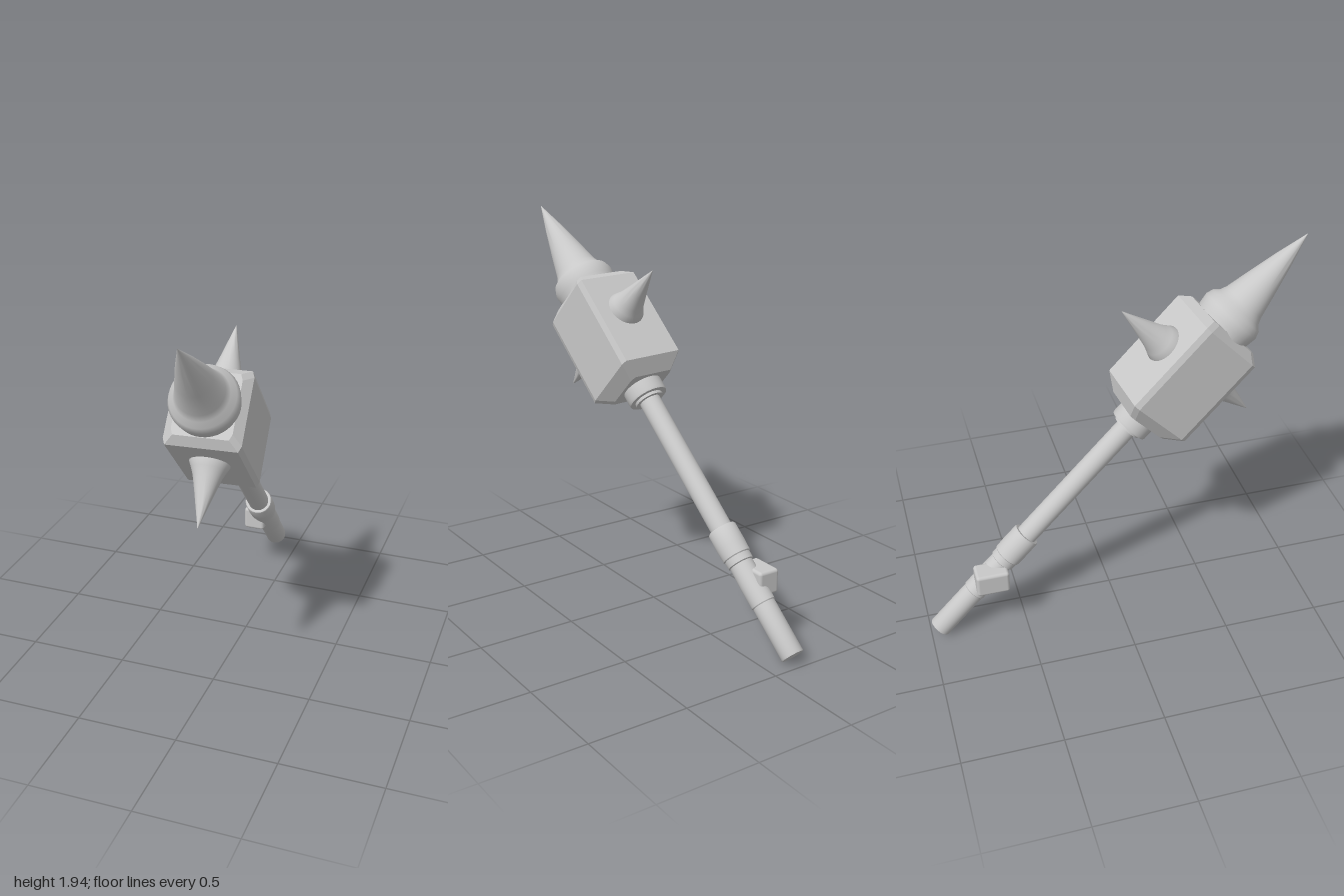
import * as THREE from 'three';
import { ConvexGeometry } from 'three/addons/geometries/ConvexGeometry.js';
import { RoundedBoxGeometry } from 'three/addons/geometries/RoundedBoxGeometry.js';
import { toCreasedNormals } from 'three/addons/utils/BufferGeometryUtils.js';

export function createModel() {
  const model = new THREE.Group();
  model.name = 'spikedHammer';
  const grey = new THREE.MeshStandardMaterial({ color: 0xc8c8c8 });
  grey.name = 'plain grey';

  // Tilted weapon frame: local y runs up the shaft, origin at the middle of the head
  const weapon = new THREE.Group();
  weapon.name = 'weapon';
  const axis = new THREE.Vector3(0.073, 0.695, 0.715).normalize();
  const front = new THREE.Vector3(0.06, -0.716, 0.696);
  const side = new THREE.Vector3().crossVectors(axis, front).normalize();
  front.crossVectors(side, axis);
  weapon.quaternion.setFromRotationMatrix(new THREE.Matrix4().makeBasis(side, axis, front));
  weapon.position.set(0, 1.367, 0.4);
  model.add(weapon);

  const add = (name, geometry, parent = weapon) => {
    const mesh = new THREE.Mesh(geometry, grey);
    mesh.name = name;
    parent.add(mesh);
    return mesh;
  };
  const lathe = (points, segments = 40) => toCreasedNormals(
    new THREE.LatheGeometry(points.map(([r, y]) => new THREE.Vector2(r, y)), segments), 0.6);

  // Head block: chamfered sections (height, half width, half depth)
  const corners = [];
  const sections = [[-0.36, 0.125, 0.125], [-0.295, 0.18, 0.193], [0.207, 0.18, 0.193], [0.25, 0.14, 0.157]];
  for (const [y, w, d] of sections) {
    for (const sx of [-1, 1]) for (const sz of [-1, 1]) {
      corners.push(new THREE.Vector3(sx * w, y, sz * (d - 0.03)));
      corners.push(new THREE.Vector3(sx * (w - 0.012), y, sz * d));
    }
  }
  add('headBlock', new ConvexGeometry(corners));

  // Large top spike with a flared foot
  add('topSpike', lathe([[0, 0.22], [0.15, 0.22], [0.158, 0.27], [0.163, 0.31], [0.152, 0.343],
    [0.128, 0.365], [0.113, 0.4], [0.083, 0.53], [0.046, 0.68], [0.001, 0.84]]));

  // Smaller spikes on the front and back of the head
  for (const s of [-1, 1]) {
    const spike = add(s > 0 ? 'frontSpike' : 'backSpike', lathe([[0, 0.16], [0.097, 0.16], [0.096, 0.195],
      [0.082, 0.225], [0.069, 0.255], [0.046, 0.335], [0.023, 0.42], [0.001, 0.5]]));
    spike.rotation.x = s * Math.PI / 2;
  }

  // Shaft, collar under the head, and grip
  add('collar', lathe([[0.055, -0.445], [0.075, -0.445], [0.075, -0.43], [0.1, -0.43], [0.103, -0.42], [0.103, -0.33]]));
  add('shaft', lathe([[0, -1.4], [0.055, -1.4], [0.055, -0.33], [0, -0.33]], 32));
  add('sleeve', lathe([[0.058, -1.4], [0.066, -1.395], [0.067, -1.36], [0.072, -1.355], [0.074, -1.3],
    [0.073, -1.21], [0.069, -1.203], [0.054, -1.203]], 32));
  add('grip', lathe([[0, -1.895], [0.055, -1.895], [0.057, -1.89], [0.057, -1.62], [0.061, -1.615],
    [0.062, -1.5], [0.059, -1.39], [0, -1.39]], 32));

  // Small upright block at the side of the grip
  const block = add('gripBlock', new RoundedBoxGeometry(0.115, 0.125, 0.17, 3, 0.016), model);
  block.position.set(-0.155, 0.338, -0.667);
  return model;
}
